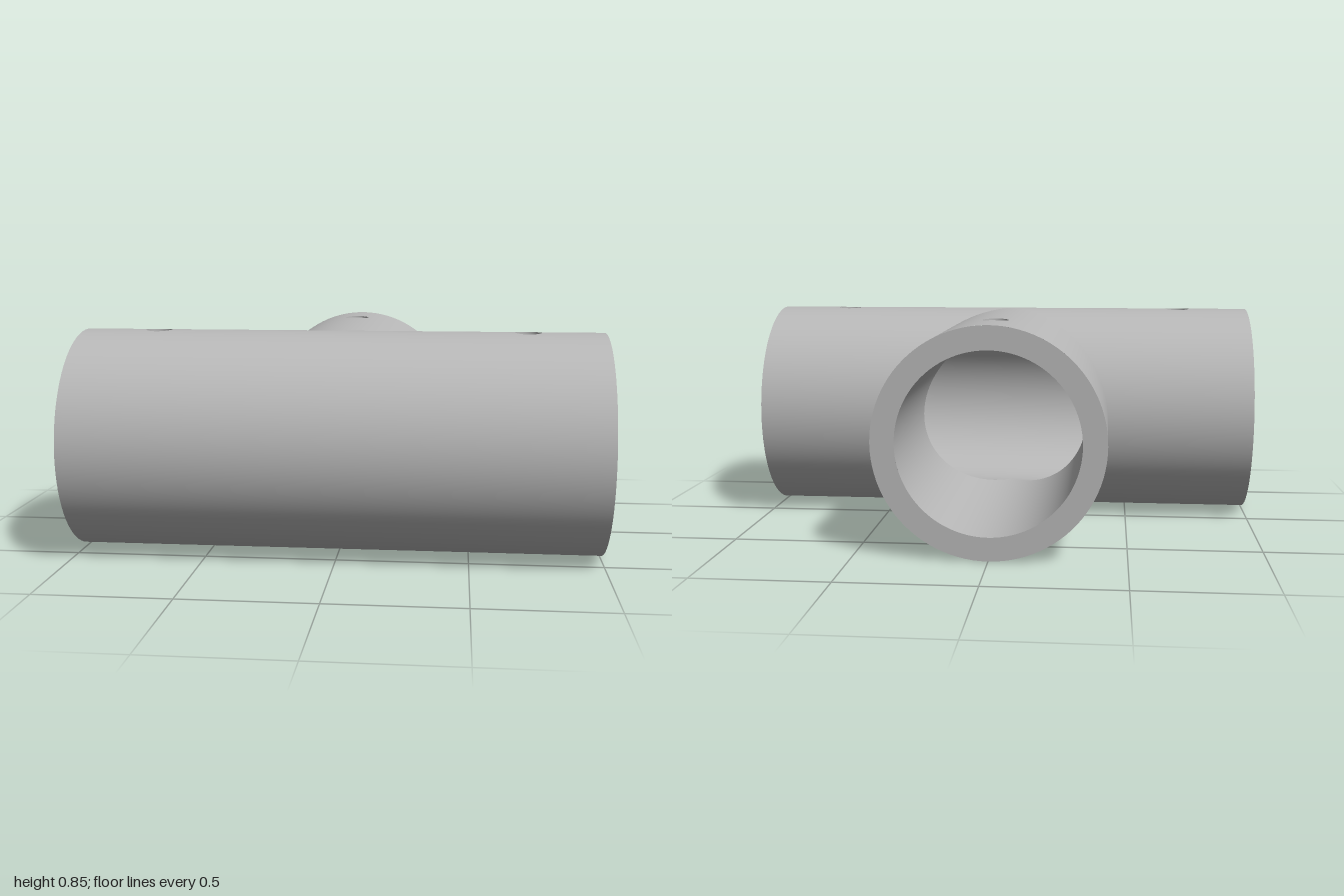
import * as THREE from 'three';

const R = 0.424, BORE = 0.336, LENGTH = 1;      // pipe radii and leg length
const HOLE = 0.05, HOLE_AT = 0.712, PAD = 0.08; // screw hole and the square patch around it
const STRIP = 12, AROUND = 84;                  // columns over the hole strip / the rest

// Grid surface from f(i, j) -> { p, n }; triangles are wound to agree with the normals.
function surface(nu, nv, f) {
  const pos = [], nor = [], idx = [];
  for (let i = 0; i <= nu; i++) for (let j = 0; j <= nv; j++) {
    const { p, n } = f(i / nu, j / nv);
    pos.push(...p);
    nor.push(...n);
  }
  const at = (a, k) => new THREE.Vector3().fromArray(a, k * 3);
  const tri = (a, b, c) => {
    const A = at(pos, a);
    const face = at(pos, b).sub(A).cross(at(pos, c).sub(A));
    const mean = at(nor, a).add(at(nor, b)).add(at(nor, c));
    if (face.dot(mean) >= 0) idx.push(a, b, c); else idx.push(a, c, b);
  };
  for (let i = 0; i < nu; i++) for (let j = 0; j < nv; j++) {
    const a = i * (nv + 1) + j, b = a + nv + 1;
    tri(a, b, b + 1);
    tri(a, b + 1, a + 1);
  }
  const g = new THREE.BufferGeometry();
  g.setAttribute('position', new THREE.Float32BufferAttribute(pos, 3));
  g.setAttribute('normal', new THREE.Float32BufferAttribute(nor, 3));
  g.setIndex(idx);
  return g;
}

// Point on a unit square outline, walked once for s = 0..1 from corner (1, -1).
function squarePoint(s) {
  const k = Math.floor(s * 4) % 4, t = (s * 4 - Math.floor(s * 4)) * 2 - 1;
  return [[1, t], [-t, 1], [-1, -t], [t, -1]][k];
}

// Circle point that faces the matching square point.
function circlePoint(s) {
  const a = s * Math.PI * 2 - Math.PI / 4;
  return [HOLE * Math.cos(a), HOLE * Math.sin(a)];
}

// Tube wall along +x with a mitred start and a round hole on top.
function tubeWall(radius, sign, start) {
  const A = Math.asin(PAD / radius);
  const point = (x, th) => {
    const c = Math.cos(th), s = Math.sin(th);
    return { p: [x, radius * c, radius * s], n: [0, sign * c, sign * s] };
  };
  const mix = THREE.MathUtils.lerp;
  const from = th => start(radius * Math.sin(th));
  return [
    surface(AROUND, 1, (u, v) => {
      const th = mix(A, Math.PI * 2 - A, u);
      return point(mix(from(th), LENGTH, v), th);
    }),
    surface(STRIP, 1, (u, v) => {
      const th = mix(-A, A, u);
      return point(mix(from(th), HOLE_AT - PAD, v), th);
    }),
    surface(STRIP, 1, (u, v) => point(mix(HOLE_AT + PAD, LENGTH, v), mix(-A, A, u))),
    surface(STRIP * 4, 2, (u, v) => {
      const [sx, sw] = squarePoint(u), [cx, cw] = circlePoint(u);
      return point(HOLE_AT + mix(cx, sx * PAD, v), mix(Math.asin(cw / radius), sw * A, v));
    }),
  ];
}

// Side of the screw hole, from the bore up to the outer wall.
function holeWall() {
  return surface(STRIP * 4, 1, (u, v) => {
    const [x, w] = circlePoint(u);
    const r = v ? R : BORE;
    return { p: [HOLE_AT + x, Math.sqrt(r * r - w * w), w], n: [-x / HOLE, 0, -w / HOLE] };
  });
}

// Flat ring closing the pipe end.
function endRim() {
  return surface(96, 1, (u, v) => {
    const r = v ? R : BORE, a = u * Math.PI * 2;
    return { p: [LENGTH, r * Math.cos(a), r * Math.sin(a)], n: [1, 0, 0] };
  });
}

export function createModel() {
  const grey = new THREE.MeshStandardMaterial({ color: 0xb8b8b8 });
  grey.name = 'grey';

  const tee = new THREE.Group();
  tee.name = 'pipeTee';

  // One leg per opening; the start function gives the mitre where legs meet.
  const legs = [
    ['leftLeg', 0, w => Math.max(0, -w)],
    ['rightLeg', Math.PI, w => Math.max(0, w)],
    ['branchLeg', Math.PI / 2, w => Math.abs(w)],
  ];
  for (const [name, turn, start] of legs) {
    const leg = new THREE.Group();
    leg.name = name;
    const add = (part, geometry) => {
      const mesh = new THREE.Mesh(geometry, grey);
      mesh.name = part;
      leg.add(mesh);
    };
    tubeWall(R, 1, start).forEach(g => add('outerWall', g));
    tubeWall(BORE, -1, start).forEach(g => add('boreWall', g));
    add('screwHole', holeWall());
    add('endRim', endRim());
    leg.rotation.y = turn;
    tee.add(leg);
  }

  tee.position.set(0, R, (LENGTH - R) / 2);
  const model = new THREE.Group();
  model.name = 'pipeFitting';
  model.add(tee);
  return model;
}
